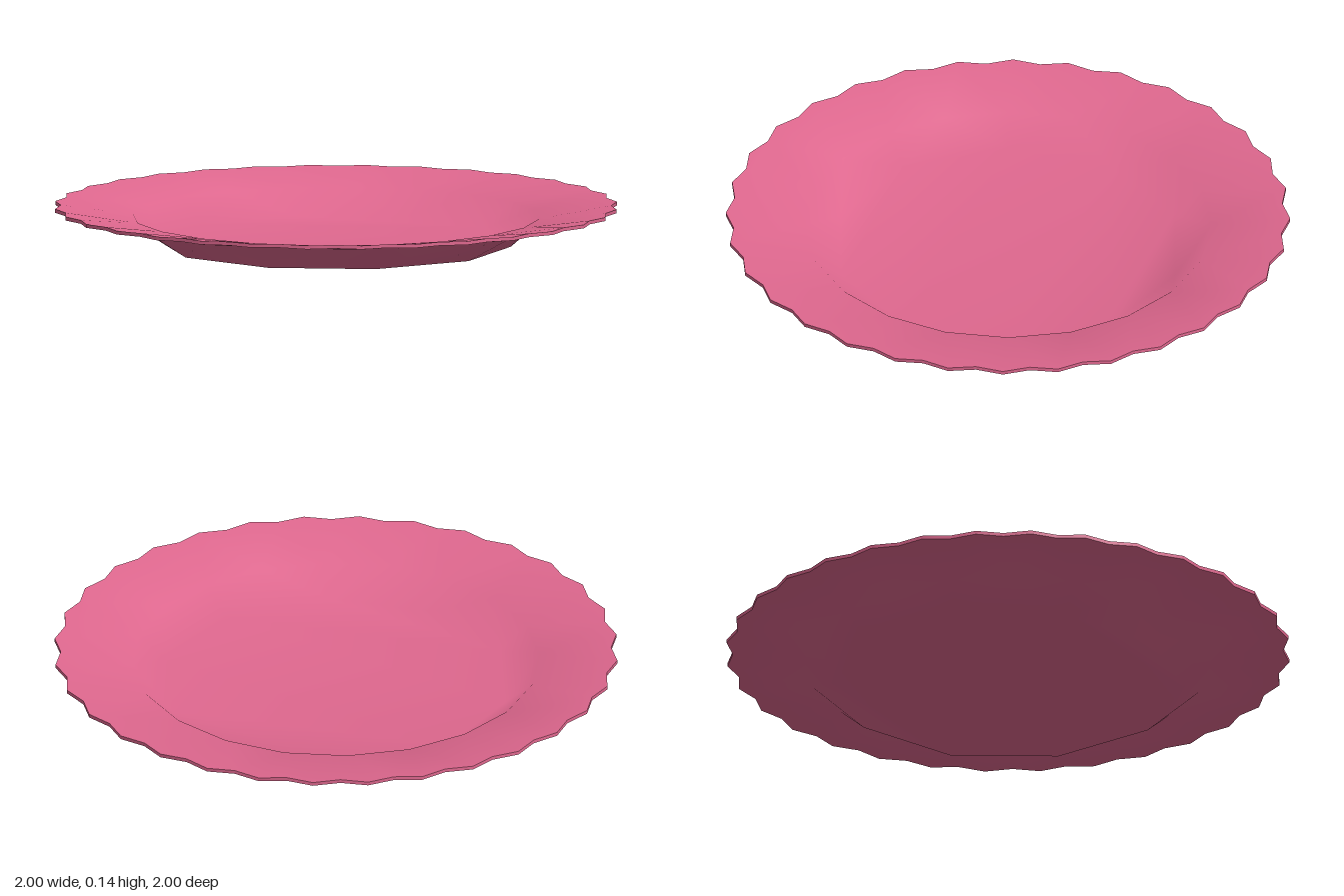
import * as THREE from 'three';

const THICKNESS = 0.013;
const RIM_SIDES = 64;

// One ring of the plate: `sides` points, radius may vary with the index
const ring = (sides, y, radius) => ({ sides, y, radius });
const RINGS = [
  ring(10, 0, () => 0.625),                            // foot
  ring(20, 0.088, () => 0.725),                        // shoulder
  ring(RIM_SIDES, 0.128, (i) => (i % 2 ? 1.005 : 0.98)) // scalloped rim
];

function ringPoints({ sides, y, radius }, lift) {
  const points = [];
  for (let i = 0; i < sides; i++) {
    const a = (i / sides) * Math.PI * 2;
    points.push(Math.sin(a) * radius(i), y + lift, Math.cos(a) * radius(i));
  }
  return points;
}

function makeGeometry(positions, triangles, flip) {
  const index = triangles.flatMap(([a, b, c]) => (flip ? [a, c, b] : [a, b, c]));
  const geometry = new THREE.BufferGeometry();
  geometry.setAttribute('position', new THREE.Float32BufferAttribute(positions, 3));
  geometry.setIndex(index);
  geometry.computeVertexNormals();
  return geometry;
}

// Joins two rings with different side counts by always advancing the one that lags
function stitch(triangles, inner, innerStart, outer, outerStart) {
  let i = 0, j = 0;
  const a = () => innerStart + (i % inner);
  const b = () => outerStart + (j % outer);
  while (i < inner || j < outer) {
    const from = [a(), b()];
    if (j < outer && (i >= inner || (j + 0.5) / outer <= (i + 0.5) / inner)) {
      j++;
      triangles.push([from[1], b(), from[0]]);
    } else {
      i++;
      triangles.push([from[0], from[1], a()]);
    }
  }
}

// A dished sheet: flat centre polygon, sloping wall and wide rim
function dish(lift, flip) {
  const positions = RINGS.flatMap((r) => ringPoints(r, lift));
  const triangles = [];
  const n = RINGS[0].sides;
  triangles.push([0, 1, n - 1]);
  for (let lo = 1, hi = n - 1; lo + 1 < hi; lo++, hi--) {
    triangles.push([lo, lo + 1, hi]);
    if (lo + 1 < hi - 1) triangles.push([lo + 1, hi - 1, hi]);
  }
  let start = 0;
  for (let k = 0; k + 1 < RINGS.length; k++) {
    const next = start + RINGS[k].sides;
    stitch(triangles, RINGS[k].sides, start, RINGS[k + 1].sides, next);
    start = next;
  }
  return makeGeometry(positions, triangles, flip);
}

// Narrow wall closing the scalloped edge
function edge() {
  const n = RIM_SIDES;
  const positions = [...ringPoints(RINGS[2], 0), ...ringPoints(RINGS[2], THICKNESS)];
  const triangles = [];
  for (let i = 0; i < n; i++) {
    const j = (i + 1) % n;
    triangles.push([i, j, n + j], [i, n + j, n + i]);
  }
  return makeGeometry(positions, triangles, false);
}

export function createModel() {
  const plate = new THREE.Group();
  plate.name = 'plate';
  const material = new THREE.MeshStandardMaterial({ color: 0xe0688f });
  const add = (name, geometry) => {
    const mesh = new THREE.Mesh(geometry, material);
    mesh.name = name;
    plate.add(mesh);
  };
  add('plateTop', dish(THICKNESS, false));
  add('plateUnderside', dish(0, true));
  add('scallopedEdge', edge());
  return plate;
}
